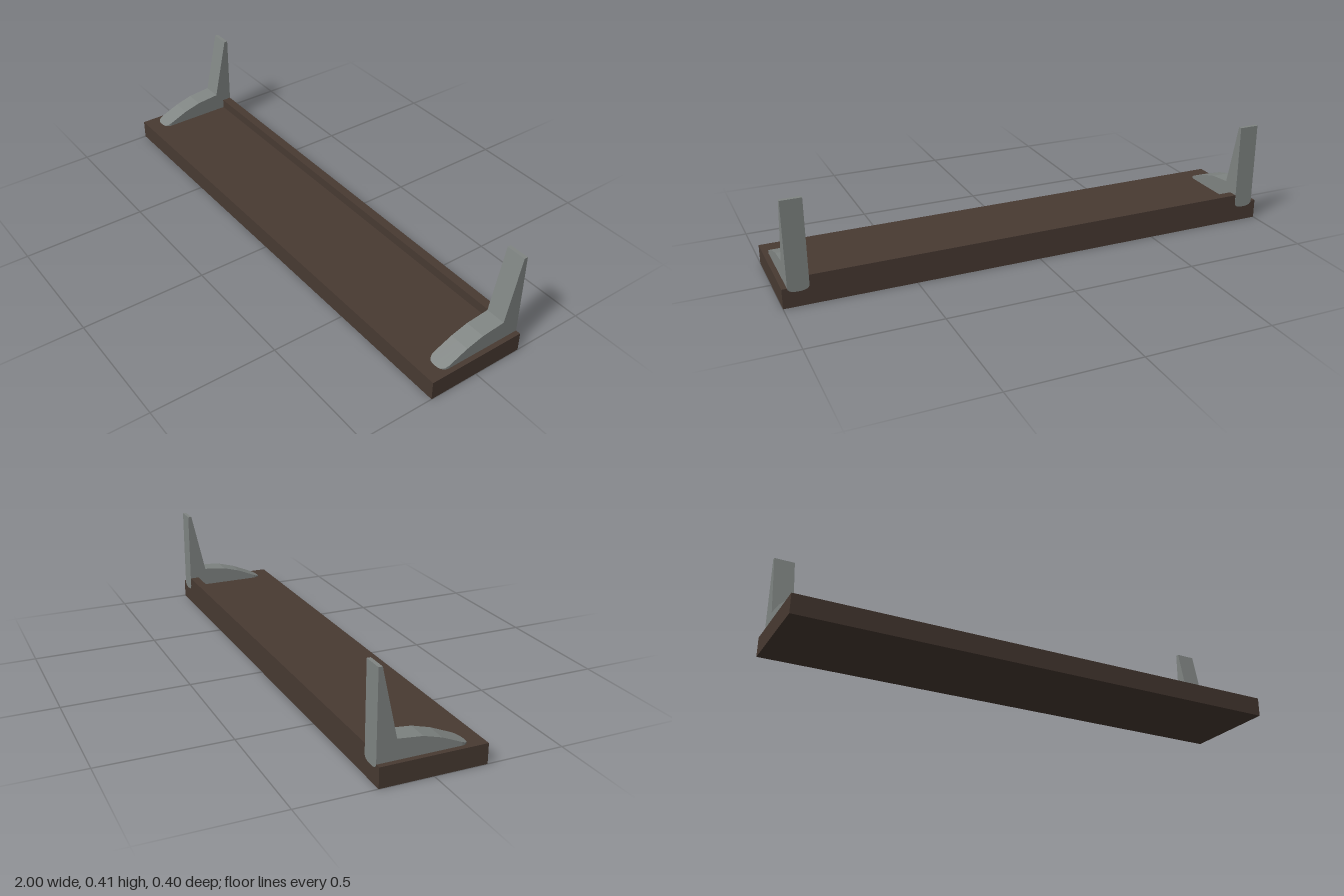
import * as THREE from 'three';

const wood = new THREE.MeshStandardMaterial({ color: 0x483a32 });
wood.name = 'dark wood';
const metal = new THREE.MeshStandardMaterial({ color: 0x808583 });
metal.name = 'grey metal';

const BOARD_TOP = 0.077;

function box(name, w, y0, y1, z0, z1) {
  const mesh = new THREE.Mesh(new THREE.BoxGeometry(w, y1 - y0, z1 - z0), wood);
  mesh.position.set(0, (y0 + y1) / 2, (z0 + z1) / 2);
  mesh.name = name;
  return mesh;
}

// Upper edge of the bracket foot, as [z, y] from heel to toe
const footEdge = [[-0.13, 0.153], [-0.035, 0.143], [0.035, 0.123], [0.143, 0.077]];

// Side outline of one slice: the toe and the heel bottom retreat near the sides
function slice(x, half) {
  const r = 0.03;
  const over = Math.max(0, Math.abs(x) - (half - r));
  const inset = r - Math.sqrt(Math.max(0, r * r - over * over));
  const toeZ = 0.143 - inset;
  const [a, b] = [footEdge[2], footEdge[3]];
  const toeY = b[1] + (a[1] - b[1]) * (b[0] - toeZ) / (b[0] - a[0]);
  const bottom = BOARD_TOP - 0.018 + inset * 0.6;
  return [
    [-0.2025, bottom], [toeZ, bottom], [toeZ, toeY],
    footEdge[2], footEdge[1], footEdge[0],
    [-0.188, 0.41], [-0.2025, 0.41],
  ];
}

// Bracket lofted across its width through the slices
function bracketGeometry() {
  const half = 0.04;
  const xs = [-1, -0.94, -0.78, -0.55, -0.25, 0.25, 0.55, 0.78, 0.94, 1].map(t => t * half);
  const rings = xs.map(x => slice(x, half).map(([z, y]) => new THREE.Vector3(x, y, z)));
  const pos = [];
  const tri = (...pts) => pts.forEach(p => pos.push(p.x, p.y, p.z));
  for (let i = 0; i < rings.length - 1; i++) {
    const a = rings[i], b = rings[i + 1], n = a.length;
    for (let j = 0; j < n; j++) {
      const k = (j + 1) % n;
      tri(a[j], b[k], a[k]);
      tri(a[j], b[j], b[k]);
    }
  }
  // Flat side caps
  const caps = [[rings[0], false], [rings[rings.length - 1], true]];
  for (const [ring, right] of caps) {
    const flat = ring.map(p => new THREE.Vector2(p.z, p.y));
    for (const [i, j, k] of THREE.ShapeUtils.triangulateShape(flat, [])) {
      // Orient each triangle outward along x
      const normal = new THREE.Vector3().crossVectors(
        ring[j].clone().sub(ring[i]), ring[k].clone().sub(ring[i]));
      if ((normal.x > 0) === right) tri(ring[i], ring[j], ring[k]);
      else tri(ring[i], ring[k], ring[j]);
    }
  }
  const g = new THREE.BufferGeometry();
  g.setAttribute('position', new THREE.Float32BufferAttribute(pos, 3));
  g.computeVertexNormals();
  return g;
}

export function createModel() {
  const group = new THREE.Group();
  group.name = 'shelf';

  // Board with a raised lip along its back edge
  group.add(box('board', 2, 0, BOARD_TOP, -0.202, 0.202));
  group.add(box('backLip', 1.8, BOARD_TOP, 0.115, -0.202, -0.165));

  // Upright brackets near both ends
  const geometry = bracketGeometry();
  for (const [name, x] of [['leftBracket', 0.94], ['rightBracket', -0.94]]) {
    const bracket = new THREE.Mesh(geometry, metal);
    bracket.name = name;
    bracket.position.x = x;
    group.add(bracket);
  }
  return group;
}
